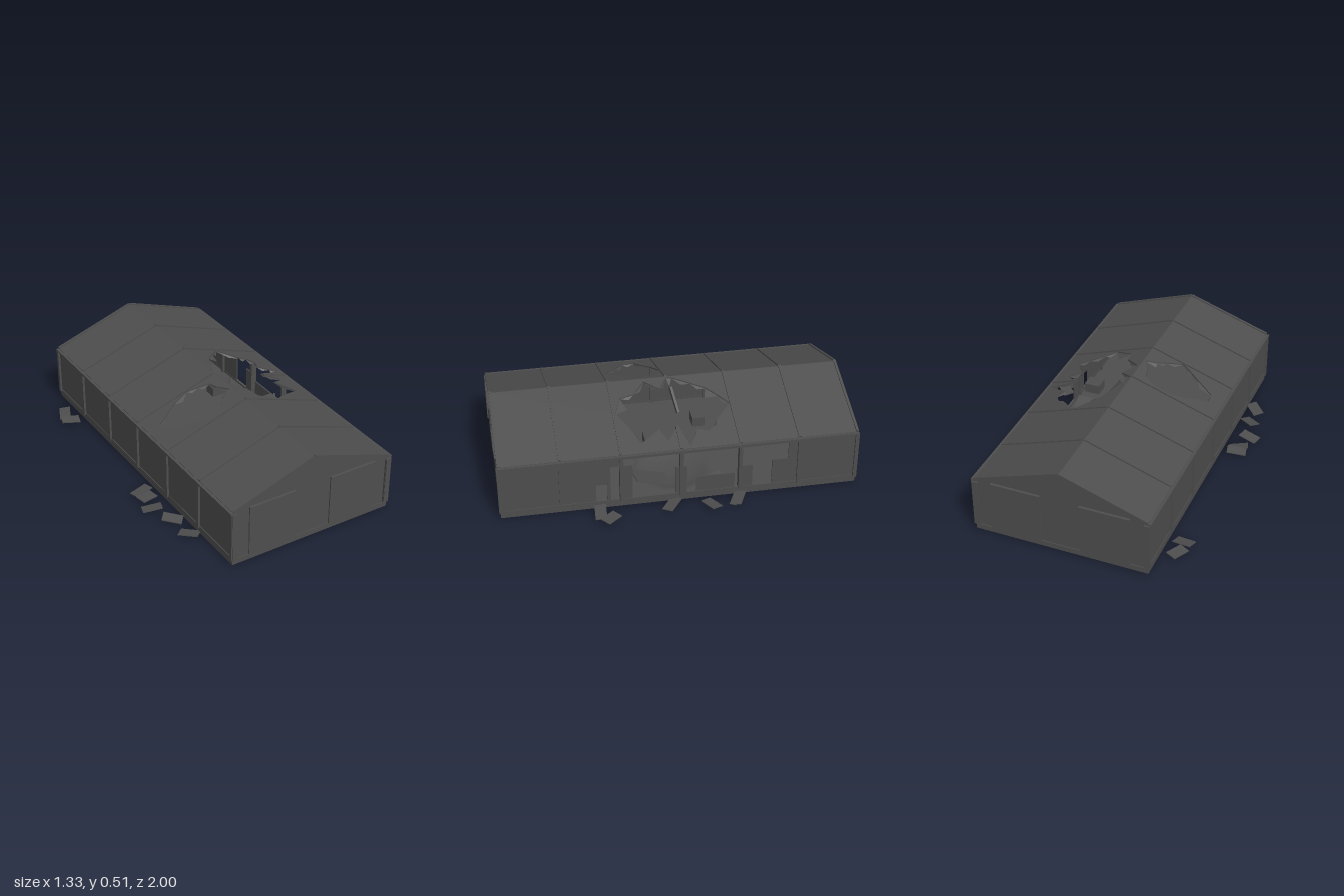
import * as THREE from 'three';

export function createModel() {
  const model = new THREE.Group();
  const steel = new THREE.MeshStandardMaterial({ color: 0x4e4e4e, side: THREE.DoubleSide });
  steel.name = 'dark grey steel';

  const roofY = (x) => 0.5 - 0.338 * Math.abs(x);
  const slope = Math.atan(0.338);
  const frames = [-0.985, -0.66, -0.33, 0, 0.33, 0.66, 0.985];

  function add(name, geometry, parent = model) {
    const mesh = new THREE.Mesh(geometry, steel);
    mesh.name = name;
    parent.add(mesh);
    return mesh;
  }
  function box(name, w, h, d, x, y, z, rx = 0, ry = 0, rz = 0) {
    const mesh = add(name, new THREE.BoxGeometry(w, h, d));
    mesh.position.set(x, y, z);
    mesh.rotation.set(rx, ry, rz, 'YXZ');
    return mesh;
  }
  function plate(points, holes, depth) {
    const toPoints = (list) => list.map(([a, b]) => new THREE.Vector2(a, b));
    const shape = new THREE.Shape(toPoints(points));
    holes.forEach((h) => shape.holes.push(new THREE.Path(toPoints(h))));
    return new THREE.ExtrudeGeometry(shape, { depth, bevelEnabled: false });
  }

  // Floor slab with a shallow crater
  const craterX = 0.24, craterSides = 11;
  const craterEdge = Array.from({ length: craterSides }, (_, i) => {
    const a = (i / craterSides) * Math.PI * 2;
    return [craterX + 0.2 * Math.sin(a), -0.2 * Math.cos(a)];
  });
  const slab = plate([[-0.495, -0.99], [0.495, -0.99], [0.495, 0.99], [-0.495, 0.99]], [craterEdge], 0.032);
  add('floorSlab', slab.rotateX(-Math.PI / 2)).position.y = 0.012;
  const dish = [[0, 0.013], [0.1, 0.016], [0.18, 0.034], [0.205, 0.05], [0.235, 0.044]];
  const crater = new THREE.LatheGeometry(dish.map(([r, y]) => new THREE.Vector2(r, y)), craterSides);
  add('floorCrater', crater).position.x = craterX;

  // Torn openings in the roof, as [x, z] outlines
  const leftTear = [[-0.42, 0.12], [-0.36, 0.09], [-0.28, 0.04], [-0.18, 0.008], [-0.12, 0.03], [-0.06, 0.06],
    [-0.05, 0.11], [-0.01, 0.19], [-0.07, 0.22], [-0.11, 0.26], [-0.19, 0.322], [-0.25, 0.29], [-0.31, 0.25], [-0.41, 0.19]];
  const rightTear = [[0.008, -0.03], [0.06, -0.13], [0.1, -0.21], [0.16, -0.27], [0.22, -0.325], [0.32, -0.23],
    [0.36, -0.22], [0.39, -0.17], [0.37, -0.11], [0.43, -0.08], [0.475, -0.05], [0.33, -0.01], [0.43, 0.06],
    [0.35, 0.1], [0.43, 0.21], [0.36, 0.24], [0.28, 0.28], [0.22, 0.32], [0.12, 0.28], [0.1, 0.2], [0.02, 0.13],
    [0.08, 0.05], [0.008, 0]];

  // Roof slopes, sheared down from the ridge
  for (const [name, s, tear] of [['leftSideRoof', 1, rightTear], ['rightSideRoof', -1, leftTear]]) {
    const outline = [[0, -0.988], [s * 0.492, -0.988], [s * 0.492, 0.988], [0, 0.988]];
    const g = plate(outline, [tear.map(([x, z]) => [x, -z])], 0.007).rotateX(-Math.PI / 2);
    const p = g.attributes.position;
    for (let i = 0; i < p.count; i++) p.setY(i, p.getY(i) + roofY(p.getX(i)));
    g.computeVertexNormals();
    add(name, g);

    // Bent metal shards around the opening
    const shards = [];
    const cx = tear.reduce((a, q) => a + q[0], 0) / tear.length;
    const cz = tear.reduce((a, q) => a + q[1], 0) / tear.length;
    tear.forEach(([x, z], i) => {
      const [x2, z2] = tear[(i + 1) % tear.length];
      const mx = (x + x2) / 2, mz = (z + z2) / 2, k = i % 5 === 2 ? 0.18 : 0.05;
      const tx = mx + (cx - mx) * k, tz = mz + (cz - mz) * k;
      shards.push(x, roofY(x), z, x2, roofY(x2), z2, tx, roofY(tx) - 0.012, tz);
    });
    const sg = new THREE.BufferGeometry();
    sg.setAttribute('position', new THREE.Float32BufferAttribute(shards, 3));
    sg.computeVertexNormals();
    add('tornRoofShards', sg);
  }

  // Rafter ribs, columns and eaves; the middle rib is broken over the large tear
  for (const s of [-1, 1]) {
    for (const z of frames) {
      const start = s > 0 && z === 0 ? 0.34 : 0;
      const mid = (start + 0.49) / 2;
      box('roofRib', (0.49 - start) / Math.cos(slope), 0.021, 0.014, s * mid, roofY(mid) + 0.004, z, 0, 0, -s * slope);
      box('wallColumn', 0.034, 0.284, 0.02, s * 0.487, 0.186, z);
    }
    box('eaveGutter', 0.028, 0.013, 1.98, s * 0.494, 0.332, 0);
    box('topRail', 0.014, 0.012, 1.97, s * 0.489, 0.32, 0);
    box('bottomRail', 0.014, 0.012, 1.97, s * 0.489, 0.05, 0);
  }
  box('brokenRib', 0.15, 0.02, 0.014, 0.1, 0.41, -0.03, 0, 0.3, -0.9);

  // Intact side wall
  box('rightSideWall', 0.008, 0.29, 1.97, -0.488, 0.189, 0);

  // Damaged side wall, with openings as [z, y] outlines
  const breaches = [
    [[0.47, 0.05], [0.47, 0.16], [0.41, 0.16], [0.41, 0.05]],
    [[0.39, 0.05], [0.39, 0.27], [0.34, 0.27], [0.34, 0.05]],
    [[0.32, 0.27], [0.27, 0.27], [0.27, 0.05], [0.03, 0.05], [0.03, 0.225], [0.01, 0.225], [0.01, 0.318], [0.32, 0.318]],
    [[-0.01, 0.225], [-0.03, 0.225], [-0.03, 0.05], [-0.08, 0.05], [-0.08, 0.15], [-0.3, 0.15], [-0.3, 0.05],
      [-0.32, 0.05], [-0.32, 0.318], [-0.01, 0.318]],
    [[-0.34, 0.19], [-0.4, 0.19], [-0.4, 0.05], [-0.51, 0.05], [-0.51, 0.21], [-0.6, 0.21], [-0.6, 0.318], [-0.34, 0.318]],
  ];
  const wall = plate([[-0.985, 0.044], [0.985, 0.044], [0.985, 0.334], [-0.985, 0.334]],
    breaches.map((b) => b.map(([z, y]) => [-z, y])), 0.008).rotateY(Math.PI / 2);
  add('leftSideWall', wall).position.x = 0.484;

  // Gable ends with sliding doors, door rails and corner posts
  for (const s of [1, -1]) {
    const end = new THREE.Group();
    end.name = s > 0 ? 'frontGable' : 'backGable';
    end.rotation.y = s > 0 ? 0 : Math.PI;
    model.add(end);
    const gable = plate([[-0.49, 0.044], [0.49, 0.044], [0.49, roofY(0.49)], [0, 0.5], [-0.49, roofY(0.49)]], [], 0.008);
    add('gableWall', gable, end).position.z = 0.977;
    for (const m of [-1, 1]) {
      add('door', new THREE.BoxGeometry(0.284, 0.288, 0.009), end).position.set(m * 0.252, 0.188, 0.9885);
      add('doorRail', new THREE.BoxGeometry(0.284, 0.008, 0.016), end).position.set(m * 0.252, 0.336, 0.991);
      add('cornerPost', new THREE.BoxGeometry(0.026, 0.284, 0.02), end).position.set(m * 0.485, 0.186, 0.988);
    }
  }

  // Ceiling units hanging below the roof
  box('ceilingUnit', 0.09, 0.055, 0.08, 0.29, 0.29, 0.135);
  box('ceilingUnit', 0.09, 0.055, 0.075, 0.12, 0.29, -0.16);

  // Fallen sheets inside
  box('fallenSheet', 0.14, 0.006, 0.2, 0.36, 0.085, 0.15, -0.3, 0.1, 0.1);
  box('fallenSheet', 0.09, 0.006, 0.06, -0.09, 0.055, 0.18, 0.15, 0.2, 0.1);
  box('fallenSheet', 0.1, 0.006, 0.06, 0.4, 0.06, -0.24, 0.15, 0.6, -0.2);

  // Scattered panels outside: x, z, turn
  const scraps = [
    [-0.575, -0.775, 1.15], [-0.58, -0.69, -0.25], [-0.58, 0.185, 0.2], [-0.575, 0.24, 0.3], [-0.605, 0.35, -0.3],
    [-0.56, 0.495, -0.7], [-0.545, 0.645, -0.85], [0.545, -0.31, -0.5], [0.58, -0.155, 0.45], [0.535, 0.06, -0.7],
    [0.605, 0.405, -0.8], [0.55, 0.455, -0.08],
  ];
  scraps.forEach(([x, z, turn], i) => {
    const tilt = i % 2 ? 0.14 : -0.1;
    box('scatteredPanel', 0.11, 0.005, 0.064, x, 0.016 + 0.004 * (i % 3), z, tilt, turn, -tilt);
  });
  box('scatteredScrap', 0.04, 0.005, 0.015, 0.605, 0.025, -0.27, 0.3, 0.9, 0.2);

  return model;
}
